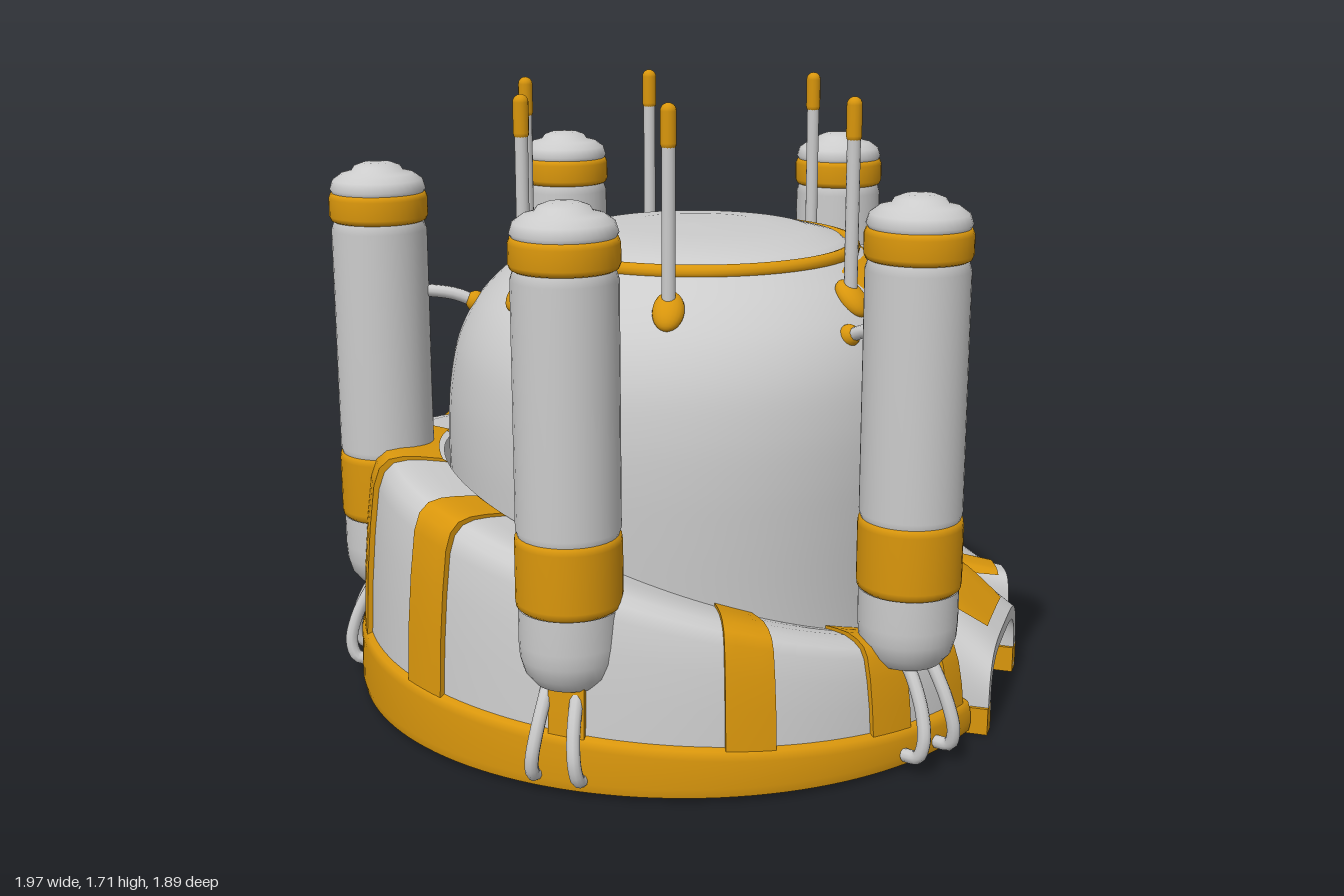
import * as THREE from 'three';

const GREY = 0xcccccc, GOLD = 0xd9960c, CX = 0.035, DEG = Math.PI / 180;
const mats = {};
const mat = (c) => (mats[c] ??= new THREE.MeshStandardMaterial({ color: c, side: THREE.DoubleSide }));
const V = (x, y, z) => new THREE.Vector3(x, y, z);
const v2 = (list) => list.map(([x, y]) => new THREE.Vector2(x, y));

function part(parent, name, geometry, color = GREY) {
  const m = new THREE.Mesh(geometry, mat(color));
  m.name = name;
  parent.add(m);
  return m;
}

// Surface through a grid of points: fn(a, b) with a, b from 0 to 1
function surface(na, nb, fn) {
  const pos = [], idx = [];
  for (let i = 0; i <= na; i++) for (let j = 0; j <= nb; j++) {
    pos.push(...fn(i / na, j / nb).toArray());
    if (i < na && j < nb) {
      const k = i * (nb + 1) + j;
      idx.push(k, k + 1, k + nb + 1, k + 1, k + nb + 2, k + nb + 1);
    }
  }
  const g = new THREE.BufferGeometry();
  g.setAttribute('position', new THREE.Float32BufferAttribute(pos, 3));
  g.setIndex(idx);
  g.computeVertexNormals();
  return g;
}

// Linear lookup in a table of [key, value]
function lookup(table, k) {
  for (let i = 1; i < table.length; i++) {
    const [k0, a] = table[i - 1], [k1, b] = table[i];
    if (k <= k1) return a + (b - a) * Math.max(0, (k - k0) / (k1 - k0));
  }
  return table[table.length - 1][1];
}

const domeCurve = new THREE.SplineCurve(v2([[0.7, 0.03], [0.7, 0.35], [0.708, 0.6], [0.71, 0.75],
  [0.702, 0.88], [0.678, 1.0], [0.63, 1.1], [0.56, 1.18], [0.48, 1.24], [0.44, 1.26]])).getPoints(50);
const domeTable = domeCurve.map((p) => [p.y, p.x]);
const domeRadius = (y) => lookup(domeTable, y);

function addDome(g) {
  part(g, 'dome', new THREE.LatheGeometry(domeCurve, 72)).position.x = CX;
  part(g, 'topPlate', new THREE.LatheGeometry(v2([[0.44, 1.26], [0.41, 1.285], [0.32, 1.308],
    [0.2, 1.318], [0, 1.322]]), 64)).position.x = CX;
  const ring = part(g, 'topRing', new THREE.TorusGeometry(0.445, 0.02, 12, 72), GOLD);
  ring.rotation.x = Math.PI / 2;
  ring.position.set(CX, 1.26, 0);
}

// Point lying just above the dome on its +x side
const onDome = (y, z, lift) => V(CX + Math.sqrt(Math.max(0, domeRadius(y) ** 2 - z * z)) + lift, y, z);

function addDoorPanel(g) {
  const widths = [[0.36, 0.36], [0.42, 0.42], [0.5, 0.455], [0.6, 0.455], [0.66, 0.435], [0.7, 0.41],
    [0.75, 0.435], [0.83, 0.46], [0.9, 0.445], [0.96, 0.4], [1.1, 0.38], [1.25, 0.33]];
  part(g, 'panelFrame', surface(50, 30, (a, b) => {
    const y = 0.36 + 0.89 * a, s = 2 * b - 1;
    return onDome(y, s * lookup(widths, y), -0.005 + 0.027 * (1 - s ** 10) * (1 - (2 * a - 1) ** 20));
  }), GOLD);
  // Padded infills: z from/to, y from/to
  for (const [z0, z1, y0, y1] of [[-0.15, 0.21, 0.94, 1.25], [-0.41, 0.41, 0.72, 0.92], [-0.41, 0.41, 0.46, 0.67]]) {
    part(g, 'panelInfill', surface(24, 24, (a, b) => {
      const t = 2 * a - 1, s = 2 * b - 1, w = Math.pow(1 - t ** 6, 0.25);
      const e = Math.max(Math.abs(t), Math.abs(s));
      return onDome((y0 + y1) / 2 + t * (y1 - y0) / 2, (z0 + z1) / 2 + s * w * (z1 - z0) / 2, 0.01 + 0.026 * (1 - e ** 5));
    }));
  }
}

// Sloping skirt around the dome, tall at -x and open at +x
function skirt(from, to, lift, profile) {
  const n = Math.max(4, Math.round((to - from) / 2.5));
  return surface(n, profile(0).length - 1, (a, b) => {
    const t = (from + (to - from) * a) * DEG, x = Math.cos(t);
    const pts = profile(x);
    const [r, y] = pts[Math.round(b * (pts.length - 1))];
    return V(x * (r + lift), y + lift * (y > 0.2 ? 0.8 : 0), Math.sin(t) * (r + lift));
  });
}
const bandTop = (x) => 0.145 - 0.05 * x;
const wallProfile = (x) => {
  const b = bandTop(x), h = 0.455 - 0.235 * x, m = (p) => b + (h - b) * p;
  return [[0.92, b - 0.02], [0.912, m(0.3)], [0.9, m(0.6)], [0.885, m(0.85)], [0.868, m(0.95)],
    [0.84, h], [0.8, h + 0.005], [0.75, h], [0.69, h - 0.01]];
};
const bandProfile = (x) => {
  const b = bandTop(x);
  return [[0.94, 0.015], [0.945, 0.04], [0.942, b - 0.03], [0.935, b - 0.008], [0.915, b]];
};

function addSkirt(g) {
  part(g, 'skirtWall', skirt(38, 322, 0, wallProfile));
  part(g, 'skirtBand', skirt(38, 322, 0, bandProfile), GOLD);
  const ribs = [[180, 13]];
  for (const [a, w] of [[42, 2.5], [58, 4], [83, 4], [112, 3], [141, 4.5]]) ribs.push([a, w], [360 - a, w]);
  for (const [a, w] of ribs) {
    part(g, 'skirtRib', skirt(a - w, a + w, 0.014, wallProfile), GOLD);
    for (const e of [a - w, a + w]) { // rib side walls
      const edge = [skirt(e, e + 0.01, 0, wallProfile), skirt(e, e + 0.01, 0.014, wallProfile)];
      part(g, 'ribSide', surface(1, 8, (i, j) =>
        new THREE.Vector3().fromBufferAttribute(edge[i].attributes.position, Math.round(j * 8))), GOLD);
    }
  }
  const floor = new THREE.Shape();
  floor.absarc(0, 0, 0.94, 38 * DEG, 322 * DEG, false);
  const f = part(g, 'floor', new THREE.ShapeGeometry(floor, 72));
  f.rotation.x = Math.PI / 2;
  f.position.y = 0.016;
}

// Arched entrance running outward along an angle
function addEntrance(g, name, angle, u0, u1, width, heights, trim) {
  const e = new THREE.Group();
  e.name = name;
  e.rotation.y = -angle * DEG;
  g.add(e);
  const arch = (u, t, d) => {
    const c = Math.cos(t * Math.PI), s = Math.max(0, Math.sin(t * Math.PI));
    return V(u, 0.015 + (lookup(heights, u) - 0.015 - d) * Math.sqrt(s), (width - d) * Math.sign(c) * Math.sqrt(Math.abs(c)));
  };
  const along = (a) => u0 + (u1 - u0) * a;
  const thick = width * 0.14;
  part(e, 'archOuter', surface(12, 32, (a, b) => arch(along(a), b, 0)));
  part(e, 'archInner', surface(12, 32, (a, b) => arch(along(a), b, thick)));
  part(e, 'archLip', surface(1, 32, (a, b) => arch(u1, b, a * thick)));
  part(e, 'archTrim', surface(12, 8, (a, b) => {
    const u = u0 + (u1 - 0.03 - u0) * a;
    return arch(u, 0.5 + (b - 0.5) * (trim[0] + (trim[1] - trim[0]) * a), -0.008);
  }), GOLD);
  for (const s of [-1, 1]) {
    const foot = part(e, 'archFoot', new THREE.BoxGeometry(0.25, 0.075, thick + 0.02), GOLD);
    foot.position.set(u1 - 0.125, 0.0405, s * (width - thick / 2));
  }
  return e;
}

function addTank(g, x, z) {
  const t = new THREE.Group();
  t.name = 'tank';
  t.position.set(x, 0, z);
  t.rotation.y = -Math.atan2(z, x); // local +x points outward
  g.add(t);
  const lathe = (name, pts, color) => part(t, name, new THREE.LatheGeometry(v2(pts), 36), color);
  lathe('tankBottom', [[0, 0.265], [0.06, 0.268], [0.09, 0.28], [0.115, 0.31], [0.127, 0.35], [0.13, 0.39], [0.13, 0.48]]);
  lathe('tankBody', [[0.125, 0.66], [0.133, 0.685], [0.133, 1.31], [0.125, 1.335]]);
  lathe('lowerBand', [[0.125, 0.478], [0.134, 0.486], [0.136, 0.5], [0.136, 0.65], [0.134, 0.665], [0.125, 0.67]], GOLD);
  lathe('upperBand', [[0.12, 1.332], [0.132, 1.338], [0.137, 1.35], [0.137, 1.4], [0.132, 1.413], [0.12, 1.418]], GOLD);
  lathe('tankCap', [[0.125, 1.41], [0.133, 1.425], [0.125, 1.45], [0.1, 1.468], [0.072, 1.475], [0.064, 1.488], [0.04, 1.497], [0, 1.5]]);
  for (const s of [-1, 1]) {
    const path = new THREE.CatmullRomCurve3([V(0.02, 0.31, s * 0.04), V(0.065, 0.25, s * 0.043),
      V(0.105, 0.17, s * 0.05), V(0.12, 0.1, s * 0.058), V(0.105, 0.055, s * 0.062), V(0.06, 0.045, s * 0.062)]);
    part(t, 'tankPipe', new THREE.TubeGeometry(path, 24, 0.018, 10));
  }
  // Bracket from the dome to the tank
  const dir = V(x - CX, 0, z).normalize();
  const a = V(CX, 1.1, 0).addScaledVector(dir, 0.625);
  const mid = a.clone().addScaledVector(dir, 0.07).setY(1.125);
  part(g, 'bracket', new THREE.TubeGeometry(new THREE.CatmullRomCurve3([a, mid, V(x, 1.14, z)]), 12, 0.018, 10));
  part(g, 'bracketSocket', new THREE.SphereGeometry(0.03, 16, 12), GOLD).position.copy(a);
}

function addAntenna(g, angle) {
  const a = new THREE.Group();
  a.name = 'antenna';
  a.position.set(CX + 0.56 * Math.cos(angle * DEG), 0, 0.56 * Math.sin(angle * DEG));
  a.rotation.y = -angle * DEG;
  g.add(a);
  const base = part(a, 'antennaBase', new THREE.SphereGeometry(1, 20, 14), GOLD);
  base.scale.set(0.03, 0.06, 0.042);
  base.position.set(0.005, 1.18, 0);
  base.rotation.z = 0.8;
  part(a, 'antennaRod', new THREE.CylinderGeometry(0.018, 0.018, 0.42, 14)).position.y = 1.39;
  part(a, 'antennaTip', new THREE.CapsuleGeometry(0.021, 0.08, 5, 14), GOLD).position.y = 1.648;
}

export function createModel() {
  const g = new THREE.Group();
  g.name = 'domeHabitat';
  addDome(g);
  addDoorPanel(g);
  addSkirt(g);
  const heights = [[0.6, 0.43], [0.72, 0.4], [0.82, 0.335], [0.95, 0.235]];
  for (const s of [-1, 1]) addEntrance(g, 'sideEntrance', s * 21.5, 0.6, 0.95, 0.25, heights, [0.5, 0.14]);
  const mid = addEntrance(g, 'centreEntrance', 0, 0.68, 0.96, 0.085, [[0.68, 0.34], [0.96, 0.27]], [0.5, 0.3]);
  part(mid, 'entranceDoor', new THREE.BoxGeometry(0.02, 0.24, 0.14)).position.set(0.86, 0.13, 0);
  part(mid, 'doorPlate', new THREE.BoxGeometry(0.02, 0.14, 0.055), GOLD).position.set(0.875, 0.14, 0);
  addTank(g, -0.855, -0.015);
  for (const s of [-1, 1]) {
    addTank(g, -0.335, s * 0.785);
    addTank(g, 0.54, s * 0.7);
    for (const angle of [47, 101, 149]) addAntenna(g, s * angle);
  }
  return g;
}
